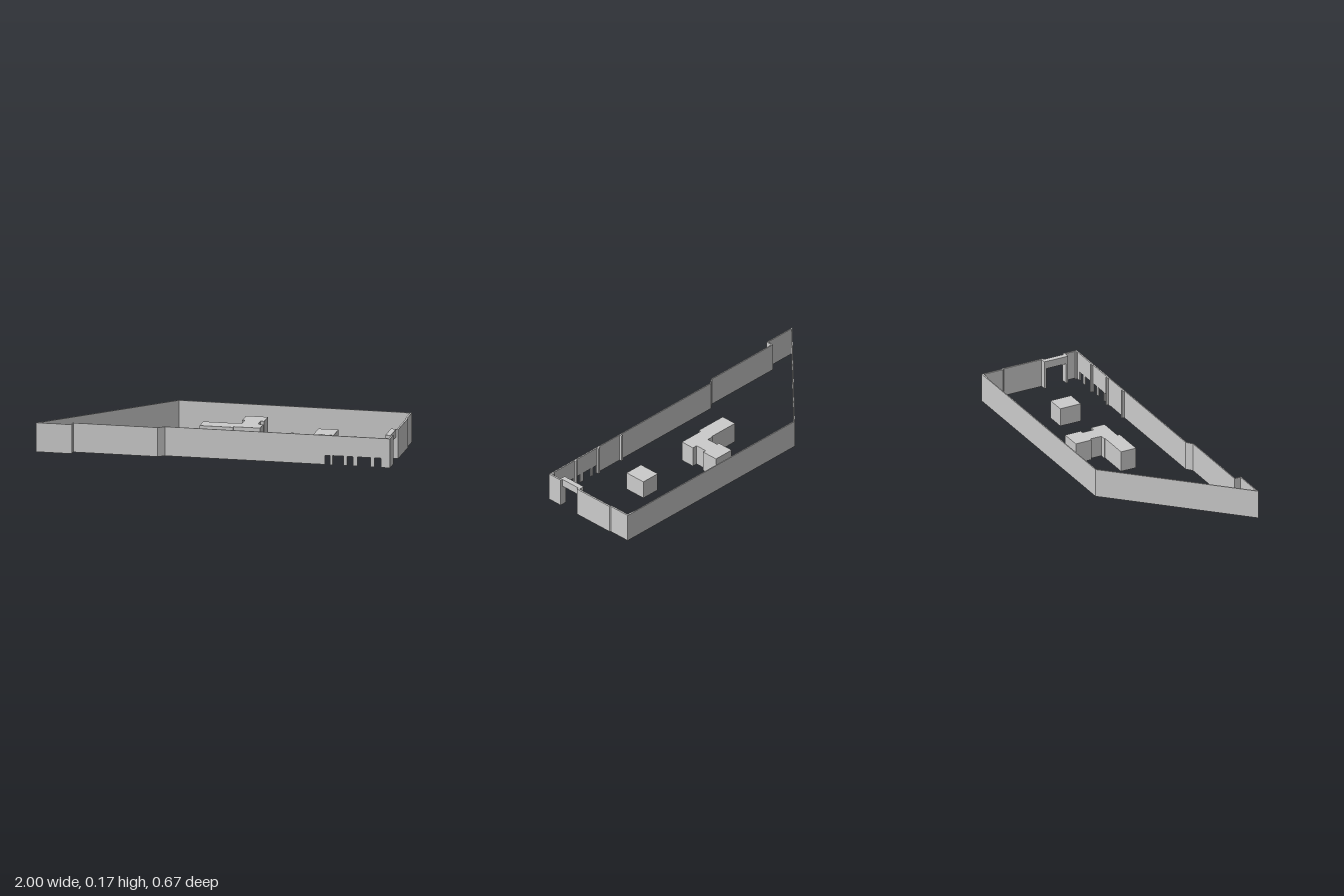
import * as THREE from 'three';

const H = 0.167; // wall height

export function createModel() {
  const group = new THREE.Group();
  const material = new THREE.MeshStandardMaterial({
    color: 0xcccccc, flatShading: true, side: THREE.DoubleSide,
  });

  const add = (name, geometry) => {
    const mesh = new THREE.Mesh(geometry, material);
    mesh.name = name;
    group.add(mesh);
    return mesh;
  };

  // Upright prism over a ground plan given as [x, z] points
  const prism = (name, plan, height, y = 0) => {
    const shape = new THREE.Shape(plan.map(([x, z]) => new THREE.Vector2(x, -z)));
    const g = new THREE.ExtrudeGeometry(shape, { depth: height, bevelEnabled: false });
    add(name, g.rotateX(-Math.PI / 2).translate(0, y, 0));
  };

  const block = (name, x0, x1, z0, z1, height, y = 0) =>
    prism(name, [[x0, z0], [x1, z0], [x1, z1], [x0, z1]], height, y);

  // Wall along an outer line, thickened inwards with mitred corners
  const wall = (name, line, t) => {
    const normal = (a, b) => {
      const dx = b[0] - a[0], dz = b[1] - a[1], l = Math.hypot(dx, dz);
      return [dz / l, -dx / l];
    };
    const inner = line.map((p, i) => {
      const next = line[i + 1], prev = line[i - 1];
      const n1 = prev ? normal(prev, p) : normal(p, next);
      const n2 = next ? normal(p, next) : n1;
      const k = t / (1 + n1[0] * n2[0] + n1[1] * n2[1]);
      return [p[0] + (n1[0] + n2[0]) * k, p[1] + (n1[1] + n2[1]) * k];
    });
    prism(name, [...line, ...inner.reverse()], H);
  };

  // Perimeter: right side with a shallow step, then back, diagonal and front
  wall('rightWall', [[1, 0.055], [1, -0.2], [0.994, -0.207], [0.994, -0.335]], 0.01);
  wall('perimeterWall', [
    [0.994, -0.335], [-0.335, -0.335], [-1, 0.335], [-0.795, 0.335],
    [-0.795, 0.297], [-0.315, 0.297], [-0.28, 0.27], [0.6, 0.27],
  ], 0.006);
  wall('rightCornerWall', [[1, 0.27], [1, 0.18]], 0.01);
  block('backCornerPier', 0.94, 0.99, -0.335, -0.325, H);

  // Front wall end with low openings along its foot
  const openings = [[0.63, 0.66], [0.675, 0.735], [0.757, 0.79], [0.815, 0.89], [0.912, 0.95]];
  const face = new THREE.Shape();
  face.moveTo(0.6, H);
  face.lineTo(0.6, 0);
  for (const [a, b] of openings) {
    face.lineTo(a, 0);
    face.lineTo(a, 0.053);
    face.lineTo(b, 0.053);
    face.lineTo(b, 0);
  }
  face.lineTo(1, 0);
  face.lineTo(1, H);
  add('frontWallWithOpenings',
    new THREE.ExtrudeGeometry(face, { depth: 0.008, bevelEnabled: false }).translate(0, 0, 0.262));

  // Pilasters on the inside of the front wall
  for (const x of [0.44, 0.62, 0.8, 0.98]) block('pilaster', x - 0.006, x + 0.006, 0.25, 0.265, H);

  // Recessed gateway in the right side
  block('gateLintel', 0.957, 0.987, 0.055, 0.18, H - 0.122, 0.122);
  block('gateJamb', 0.957, 0.992, 0.043, 0.055, H);
  block('gateJamb', 0.957, 0.992, 0.18, 0.192, H);

  // Inner buildings
  prism('mainBuilding', [
    [0.07, -0.24], [0.195, -0.24], [0.195, -0.14], [0.175, -0.14], [0.175, -0.07],
    [0.205, -0.07], [0.205, 0.015], [0.055, 0.015], [0.055, 0.03], [-0.135, 0.03],
    [-0.135, -0.065], [0.05, -0.065], [0.05, -0.07], [0.085, -0.07], [0.085, -0.14], [0.07, -0.14],
  ], 0.122);
  block('smallBuilding', 0.513, 0.627, -0.098, 0.032, 0.108);

  return group;
}
